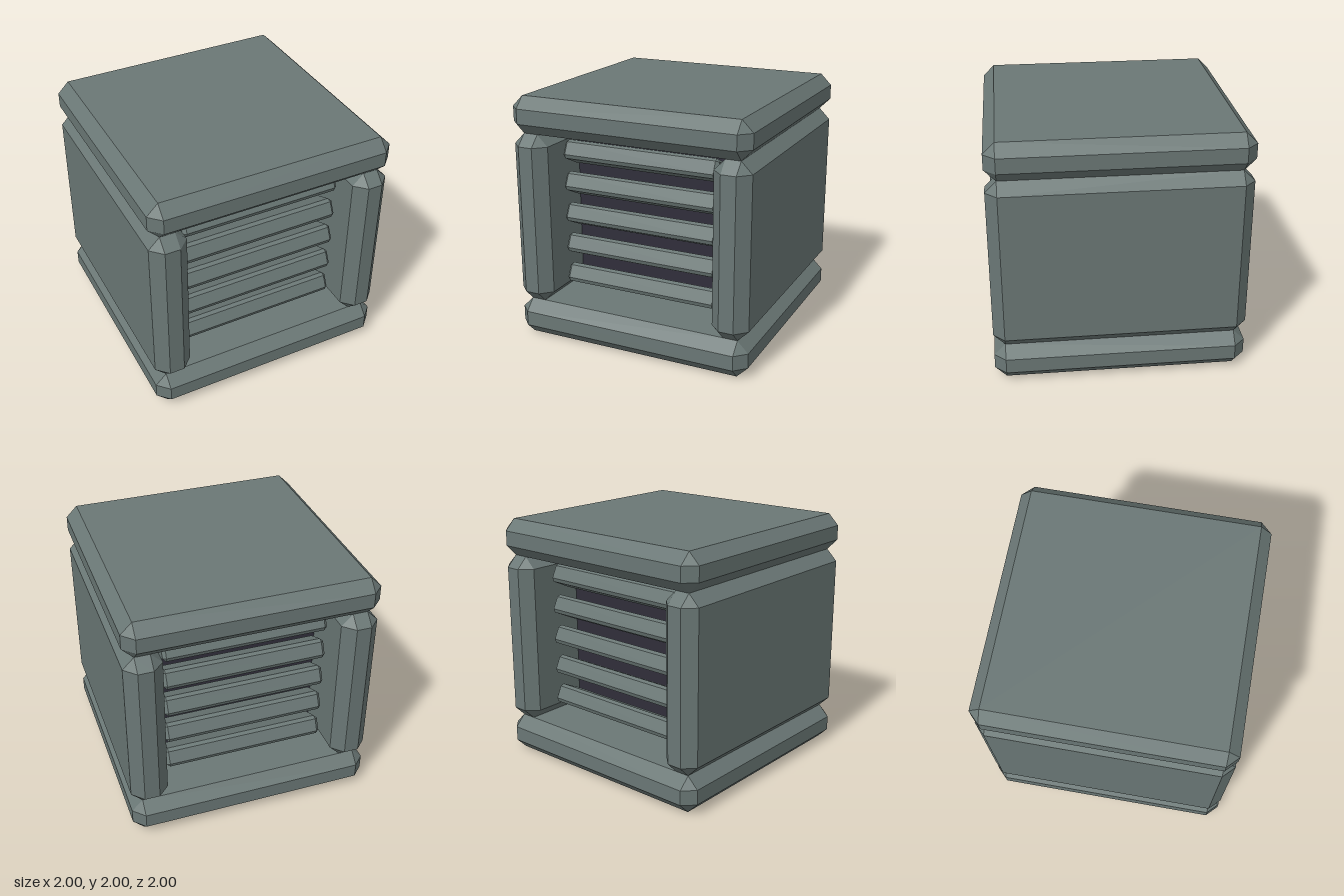
import * as THREE from 'three';
import { ConvexGeometry } from 'three/addons/geometries/ConvexGeometry.js';

// Box with flat 45 degree chamfers on every edge
function chamferBox(w, h, d, c) {
  const points = [];
  for (const sx of [-1, 1]) for (const sy of [-1, 1]) for (const sz of [-1, 1]) {
    const x = w / 2, y = h / 2, z = d / 2;
    points.push(
      new THREE.Vector3(sx * x, sy * (y - c), sz * (z - c)),
      new THREE.Vector3(sx * (x - c), sy * y, sz * (z - c)),
      new THREE.Vector3(sx * (x - c), sy * (y - c), sz * z));
  }
  return new ConvexGeometry(points);
}

export function createModel() {
  const model = new THREE.Group();
  model.name = 'ventBlock';
  const casing = new THREE.MeshStandardMaterial({ color: 0x6a7775, flatShading: true });
  casing.name = 'casingGrey';
  const dark = new THREE.MeshStandardMaterial({ color: 0x302e3a, flatShading: true });
  dark.name = 'darkInterior';

  const add = (name, geometry, material, x, y, z, parent = model) => {
    const mesh = new THREE.Mesh(geometry, material);
    mesh.name = name;
    mesh.position.set(x, y, z);
    parent.add(mesh);
    return mesh;
  };

  // Top and bottom slabs
  const slab = chamferBox(2, 0.3, 2, 0.09);
  add('bottomSlab', slab, casing, 0, 0.15, 0);
  add('topSlab', slab, casing, 0, 1.85, 0);

  // Side panels
  const panel = chamferBox(0.3, 1.4, 2, 0.09);
  add('leftPanel', panel, casing, 0.85, 1, 0);
  add('rightPanel', panel, casing, -0.85, 1, 0);

  // Recessed dark core
  add('core', new THREE.BoxGeometry(1.66, 1.4, 0.9), dark, 0, 1, 0);

  // Tilted louvre slats on the front and back
  const slat = chamferBox(1.32, 0.154, 0.22, 0.025);
  for (const side of ['front', 'back']) {
    const louvre = new THREE.Group();
    louvre.name = side + 'Louvre';
    if (side === 'back') louvre.rotation.y = Math.PI;
    for (let i = -2; i <= 2; i++) {
      add('slat', slat, casing, 0, 1 + i * 0.2615, 0.65, louvre).rotation.x = -0.45;
    }
    model.add(louvre);
  }
  return model;
}
